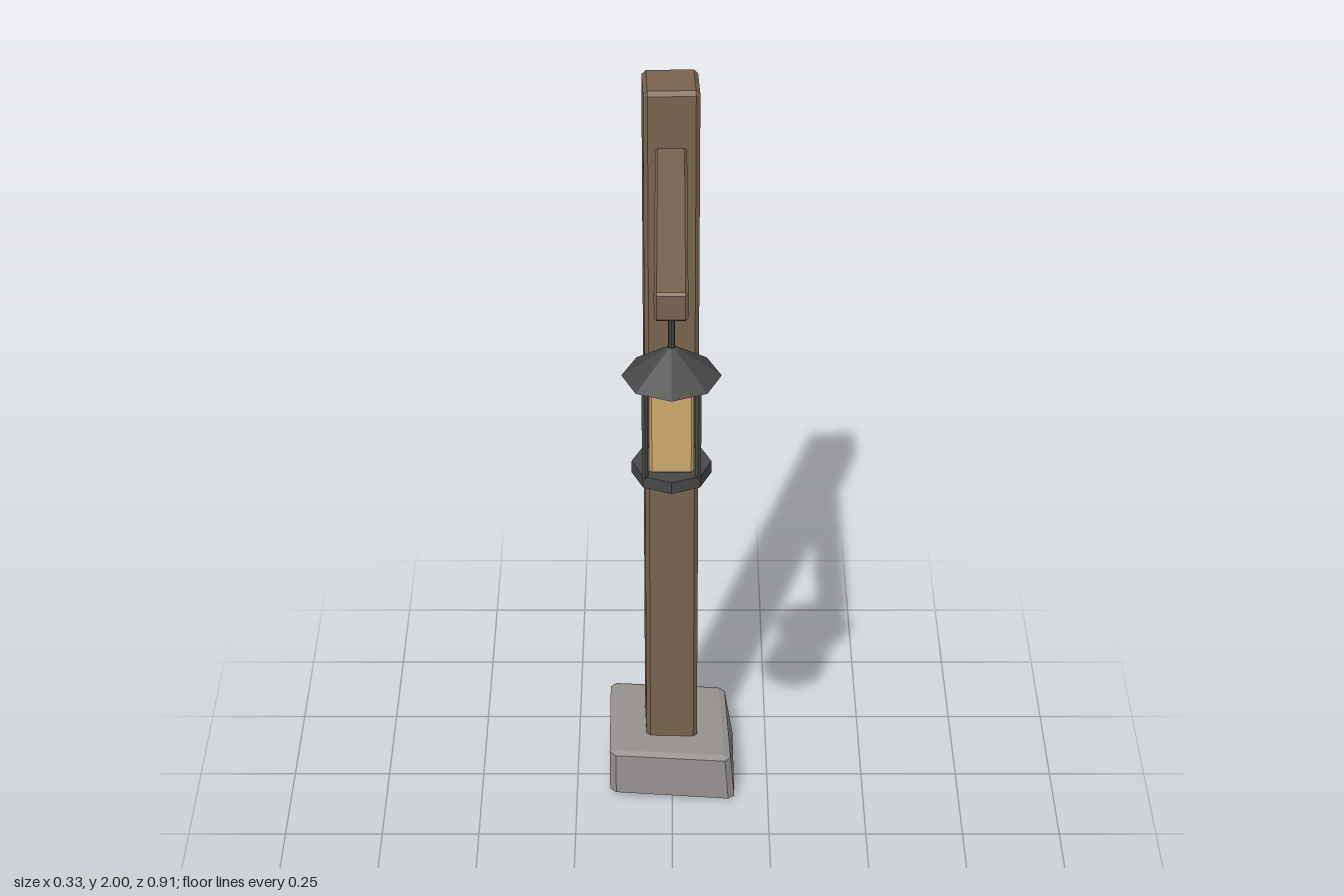
import * as THREE from 'three';
import { ConvexGeometry } from 'three/addons/geometries/ConvexGeometry.js';

const material = (name, color) => {
  const m = new THREE.MeshStandardMaterial({ color, flatShading: true });
  m.name = name;
  return m;
};

// Box with chamfered edges; warp(point) may move its points for a hand-cut look
function chamferBox(w, h, d, bevel, warp) {
  const half = [w / 2, h / 2, d / 2];
  const points = [];
  for (const sx of [-1, 1]) for (const sy of [-1, 1]) for (const sz of [-1, 1]) {
    for (let axis = 0; axis < 3; axis++) {
      const c = [sx, sy, sz].map((s, i) => s * (half[i] - (i === axis ? 0 : bevel)));
      const p = new THREE.Vector3(...c);
      if (warp) warp(p);
      points.push(p);
    }
  }
  return new ConvexGeometry(points);
}

export function createModel() {
  const group = new THREE.Group();
  const wood = material('wood', 0x7a6450);
  const stone = material('stone', 0x969290);
  const iron = material('iron', 0x484848);
  const glass = material('lampGlass', 0xd0aa6c);

  const add = (name, geometry, mat, x, y, z, parent = group) => {
    const mesh = new THREE.Mesh(geometry, mat);
    mesh.name = name;
    mesh.position.set(x, y, z);
    parent.add(mesh);
    return mesh;
  };

  // Stone footing: unit block blended between eight uneven corners
  const corners = [ // index = x + 2y + 4z, low to high
    [-0.16, 0.025, -0.42], [0.163, 0.008, -0.425],
    [-0.165, 0.158, -0.456], [0.138, 0.142, -0.456],
    [-0.163, 0.02, -0.145], [0.163, 0.002, -0.137],
    [-0.163, 0.152, -0.147], [0.152, 0.136, -0.142],
  ].map((c) => new THREE.Vector3(...c));
  const toFooting = (p) => {
    const t = [p.x + 0.5, p.y + 0.5, p.z + 0.5];
    p.set(0, 0, 0);
    corners.forEach((c, i) => {
      const weight = t.reduce((a, v, k) => a * ((i >> k) & 1 ? v : 1 - v), 1);
      p.addScaledVector(c, weight);
    });
  };
  add('footing', chamferBox(1, 1, 1, 0.05, toFooting), stone, 0, 0, 0);

  // Timber post, slightly out of square
  const skew = (p) => { p.x += p.z * 0.04; p.z -= p.x * 0.03; };
  add('post', chamferBox(0.132, 1.987, 0.132, 0.01, skew), wood, -0.004, 1.0065, -0.297);

  // Arm and diagonal brace
  add('arm', chamferBox(0.074, 0.07, 0.72, 0.006), wood, -0.003, 1.823, 0.092);
  const from = new THREE.Vector2(-0.26, 1.465), to = new THREE.Vector2(0.085, 1.813);
  const span = to.clone().sub(from);
  const brace = add('brace', chamferBox(0.05, 0.044, span.length(), 0.004), wood,
    -0.003, (from.y + to.y) / 2, (from.x + to.x) / 2);
  brace.rotation.x = -Math.atan2(span.y, span.x);

  // Hanging lantern
  const lantern = new THREE.Group();
  lantern.name = 'lantern';
  lantern.position.set(-0.002, 0, 0.335);
  group.add(lantern);
  add('hanger', new THREE.CylinderGeometry(0.008, 0.008, 0.16, 8), iron, 0, 1.72, 0, lantern);
  add('roof', new THREE.CylinderGeometry(0.006, 0.111, 0.075, 8), iron, 0, 1.623, 0, lantern);
  add('lanternBase', new THREE.CylinderGeometry(0.09, 0.09, 0.03, 8), iron, 0, 1.346, 0, lantern);
  add('lampPane', chamferBox(0.1, 0.212, 0.1, 0.006), glass, 0, 1.464, 0, lantern);
  for (const x of [-1, 1]) for (const z of [-1, 1]) {
    add('cageBar', new THREE.CylinderGeometry(0.008, 0.008, 0.24, 6), iron,
      x * 0.059, 1.475, z * 0.059, lantern);
  }
  return group;
}
